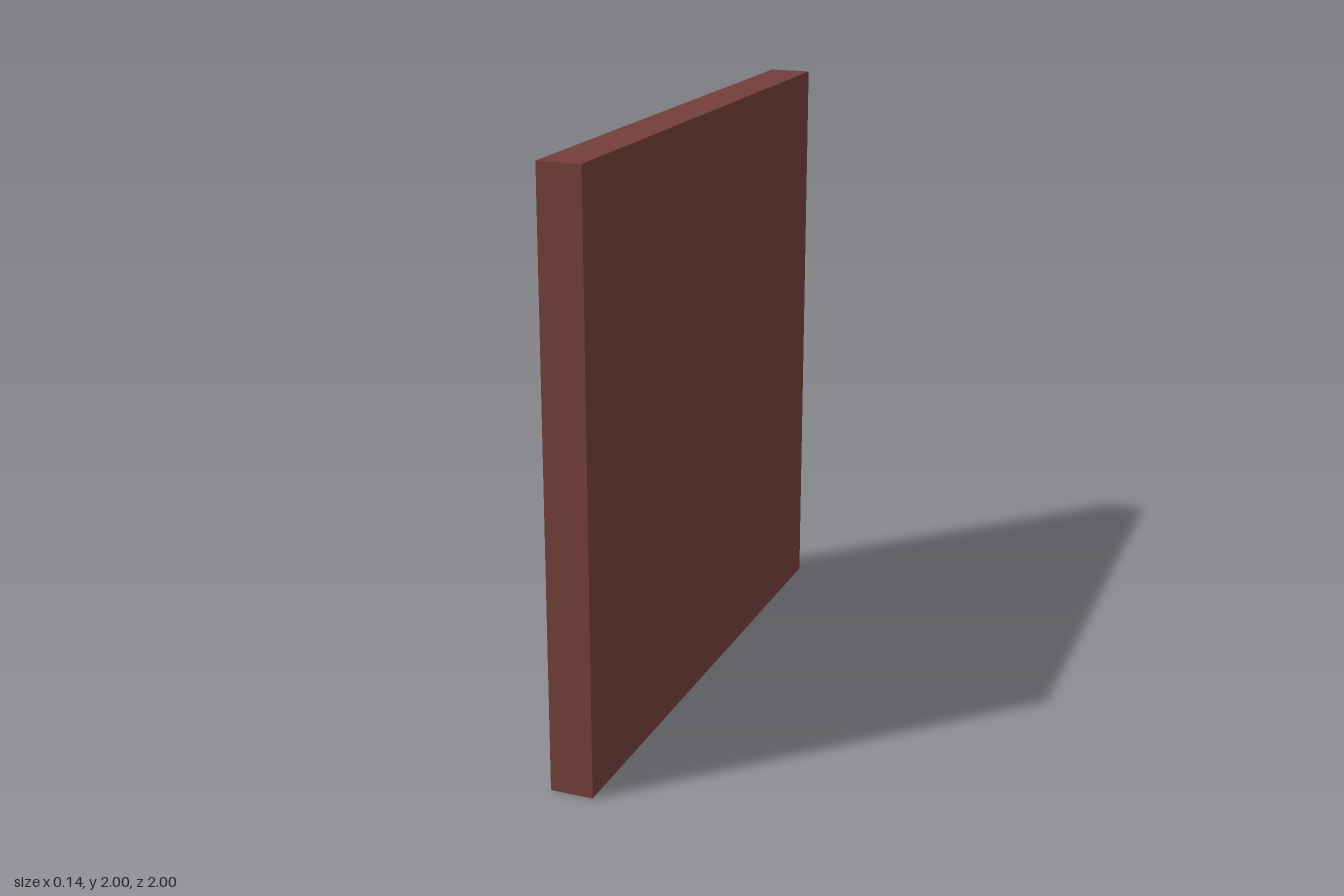
import * as THREE from 'three';

export function createModel() {
  const model = new THREE.Group();
  const wood = new THREE.MeshStandardMaterial({ color: 0x733f3a });
  const grey = new THREE.MeshStandardMaterial({ color: 0xcccccc });

  const half = 0.072;                 // half the thickness
  const floorX = 0.057;               // bottom of the recess
  const boardX = 0.06;                // where the frame meets the backing
  const openZ = 0.74, openLow = 0.08, openHigh = 1.92;

  const add = (name, geometry, material) => {
    const mesh = new THREE.Mesh(geometry, material);
    mesh.name = name;
    model.add(mesh);
    return mesh;
  };

  // Rectangular outline in the plane of the panel
  const rect = (Type, w, y0, y1) => new Type([
    new THREE.Vector2(-w, y0), new THREE.Vector2(w, y0),
    new THREE.Vector2(w, y1), new THREE.Vector2(-w, y1),
  ]);

  // Frame with its opening towards -x
  const outline = rect(THREE.Shape, 1, 0, 2);
  outline.holes.push(rect(THREE.Path, openZ, openLow, openHigh));
  const frame = new THREE.ExtrudeGeometry(outline, { depth: boardX + half, bevelEnabled: false });
  frame.rotateY(Math.PI / 2).translate(-half, 0, 0);
  add('frame', frame, wood);

  // Solid backing on the +x side
  add('backBoard', new THREE.BoxGeometry(half - boardX, 2, 2), wood)
    .position.set((half + boardX) / 2, 1, 0);

  // Pane lying at the bottom of the recess
  add('pane', new THREE.BoxGeometry(boardX - floorX, openHigh - openLow, openZ * 2), grey)
    .position.set((floorX + boardX) / 2, 1, 0);

  return model;
}
